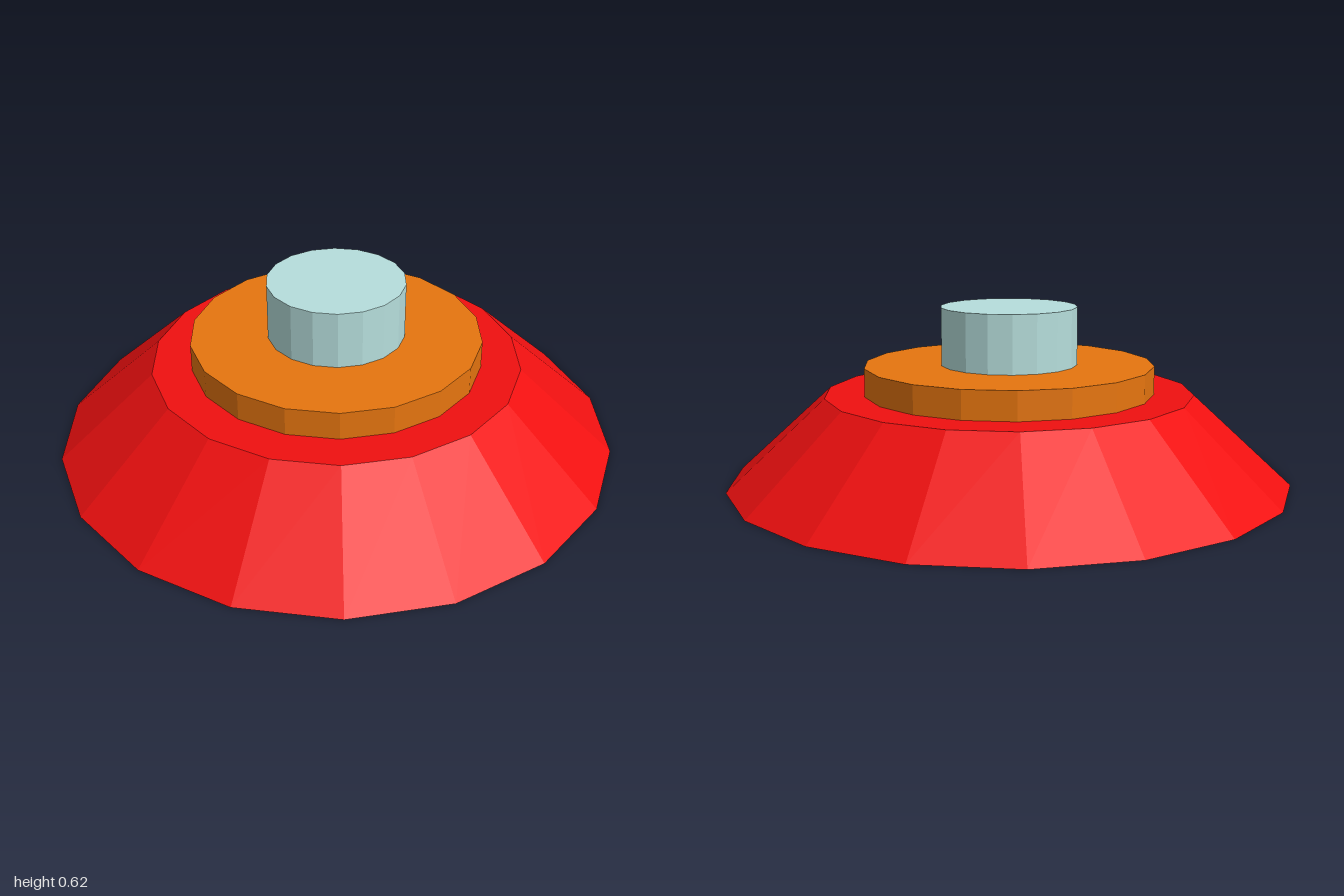
import * as THREE from 'three';

const SIDES = 18;

// One faceted tier, standing on y0, with a corner on the x axis
function tier(name, rTop, rBottom, y0, y1, color, baseColor = color) {
  const geometry = new THREE.CylinderGeometry(rTop, rBottom, y1 - y0, SIDES, 1, false, Math.PI / 2);
  geometry.translate(0, (y0 + y1) / 2, 0);
  const paint = (c) => new THREE.MeshStandardMaterial({ color: c, flatShading: true });
  const body = paint(color);
  const mesh = new THREE.Mesh(geometry, [body, body, paint(baseColor)]); // side, top, underside
  mesh.name = name;
  return mesh;
}

export function createModel() {
  const group = new THREE.Group();
  group.name = 'tieredButton';

  // Wide sloped base with a dark underside
  group.add(tier('slopedBase', 0.655, 1, 0, 0.315, 0xf01010, 0x444444));
  // Flat disc in the middle
  group.add(tier('middleDisc', 0.515, 0.515, 0.315, 0.415, 0xe6750f));
  // Narrow cylinder on top
  group.add(tier('topKnob', 0.243, 0.243, 0.415, 0.62, 0xb6dedc));

  return group;
}
